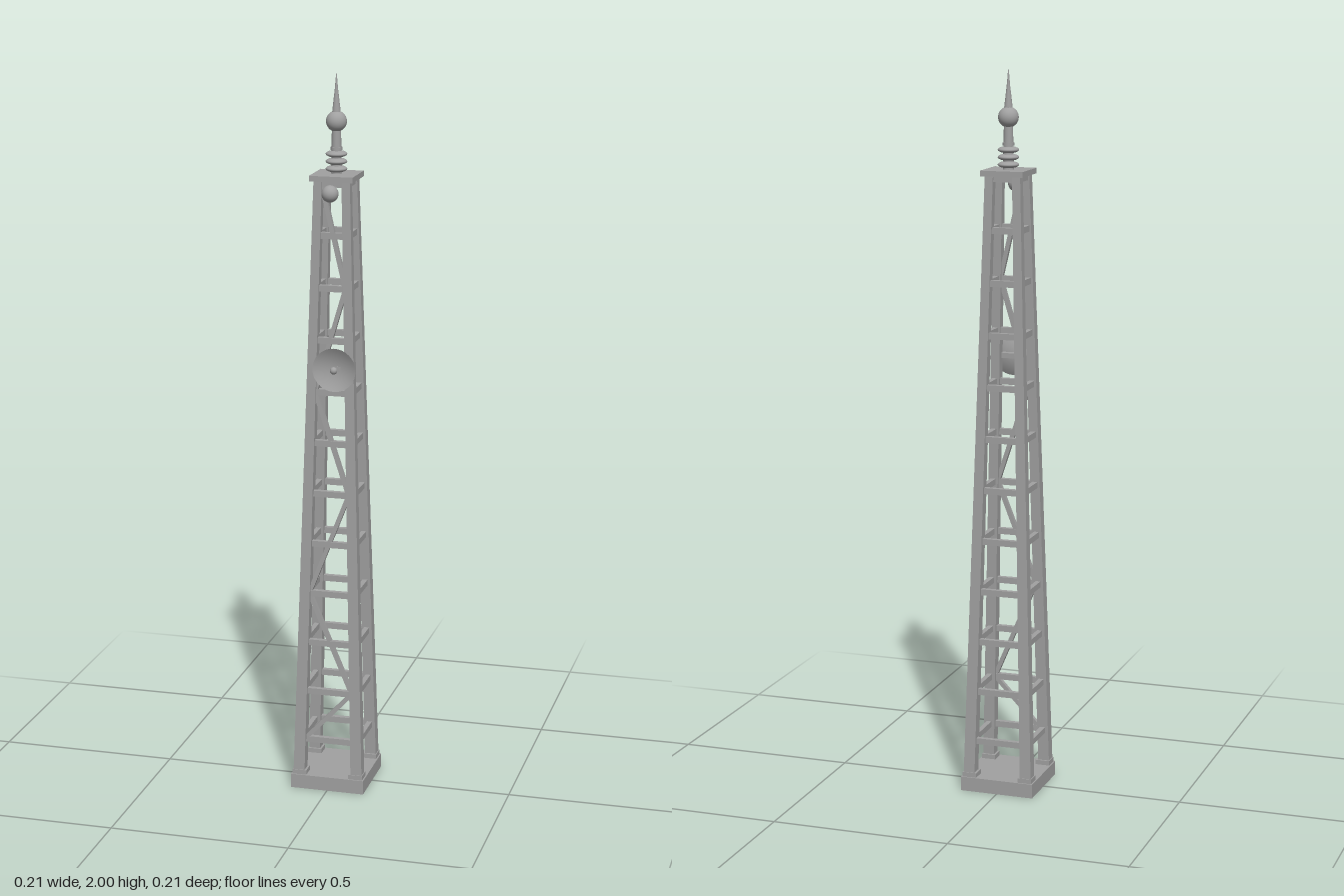
import * as THREE from 'three';

export function createModel() {
  const tower = new THREE.Group();
  tower.name = 'latticeTower';
  const steel = new THREE.MeshStandardMaterial({ color: 0xa0a0a0, side: THREE.DoubleSide });
  steel.name = 'greySteel';

  const add = (name, geometry, x = 0, y = 0, z = 0, parent = tower) => {
    const mesh = new THREE.Mesh(geometry, steel);
    mesh.name = name;
    mesh.position.set(x, y, z);
    parent.add(mesh);
    return mesh;
  };
  const box = (name, w, h, d, x, y, z, parent) =>
    add(name, new THREE.BoxGeometry(w, h, d), x, y, z, parent);
  // Square bar joining two points
  const bar = (name, a, b, size) => {
    const dir = b.clone().sub(a);
    const mid = a.clone().add(b).multiplyScalar(0.5);
    const mesh = box(name, size, dir.length(), size, mid.x, mid.y, mid.z);
    mesh.quaternion.setFromUnitVectors(new THREE.Vector3(0, 1, 0), dir.normalize());
    return mesh;
  };

  const legBottom = 0.04, legTop = 1.72;
  const ratio = (y) => (y - legBottom) / (legTop - legBottom);
  const outer = (y) => THREE.MathUtils.lerp(0.099, 0.05, ratio(y));
  const inner = (y) => THREE.MathUtils.lerp(0.067, 0.027, ratio(y));
  const centre = (y) => (outer(y) + inner(y)) / 2;

  // Base slab and top platform
  box('base', 0.21, 0.04, 0.21, 0, 0.02, 0);
  box('platform', 0.12, 0.015, 0.12, 0, 1.727, 0);

  // Four tapering legs with foot plates
  for (const sx of [-1, 1]) for (const sz of [-1, 1]) {
    const leg = new THREE.BoxGeometry(1, 1, 1);
    const p = leg.attributes.position;
    for (let i = 0; i < p.count; i++) {
      const y = p.getY(i) > 0 ? legTop : legBottom;
      const side = (v, s) => s * (v * s > 0 ? outer(y) : inner(y));
      p.setXYZ(i, side(p.getX(i), sx), y, side(p.getZ(i), sz));
    }
    leg.computeVertexNormals();
    add('leg', leg);
    box('foot', 0.04, 0.014, 0.04, sx * 0.081, 0.046, sz * 0.081);
  }

  // Rings of horizontal rungs
  const step = 0.143;
  for (let i = 1; i <= 12; i++) {
    const y = i === 12 ? 1.712 : i * step;
    const c = centre(y);
    for (const s of [-1, 1]) {
      box('crossRung', 2 * c, 0.017, 0.014, 0, y, s * c);
      box('sideRung', 0.014, 0.017, 2 * c, s * c, y, 0);
    }
  }

  // Zigzag brace on the front
  const levels = [1, 2, 4, 6, 8, 10, 12];
  for (let i = 0; i < levels.length - 1; i++) {
    const s = i % 2 ? 1 : -1;
    const end = (n, k) => {
      const y = n * step;
      return new THREE.Vector3(k * (inner(y) + 0.004), y, centre(y));
    };
    bar('diagonalBrace', end(levels[i], s), end(levels[i + 1], -s), 0.012);
  }

  // Dish antenna: shallow bowl open to the front, with feed and arm
  const dish = new THREE.Group();
  dish.name = 'dishAntenna';
  dish.position.set(0.017, 1.215, 0.074);
  tower.add(dish);
  const bowl = [];
  for (let i = 0; i <= 8; i++) {
    const r = 0.06 * i / 8;
    bowl.push(new THREE.Vector2(r, 0.016 * (i / 8) ** 2));
  }
  add('dishBowl', new THREE.LatheGeometry(bowl, 32), 0, 0, 0, dish).rotation.x = Math.PI / 2;
  add('dishStem', new THREE.CylinderGeometry(0.004, 0.004, 0.02, 10), 0, 0, 0.01, dish).rotation.x = Math.PI / 2;
  add('dishFeed', new THREE.SphereGeometry(0.01, 16, 12), 0, 0, 0.02, dish);
  box('dishArm', 0.05, 0.014, 0.02, 0.008, 0, -0.009, dish);

  // Warning lamp on a bracket below the platform
  add('lamp', new THREE.SphereGeometry(0.023, 24, 16), 0, 1.69, 0.067);
  box('lampBracket', 0.018, 0.012, 0.03, 0, 1.7, 0.046);

  // Insulator stack
  add('mast', new THREE.CylinderGeometry(0.012, 0.015, 0.14, 20), 0, 1.795, 0);
  for (let i = 0; i < 3; i++) {
    add('insulatorDisc', new THREE.SphereGeometry(0.029, 28, 12), 0, 1.747 + i * 0.02, 0).scale.y = 0.33;
  }
  add('mastCollar', new THREE.CylinderGeometry(0.016, 0.016, 0.008, 20), 0, 1.802, 0);

  // Ball and tapering spire
  add('spireBall', new THREE.SphereGeometry(0.028, 28, 18), 0, 1.874, 0);
  add('spire', new THREE.CylinderGeometry(0.005, 0.012, 0.06, 16), 0, 1.925, 0);
  add('spireTip', new THREE.CylinderGeometry(0.001, 0.005, 0.045, 12), 0, 1.9775, 0);
  return tower;
}
